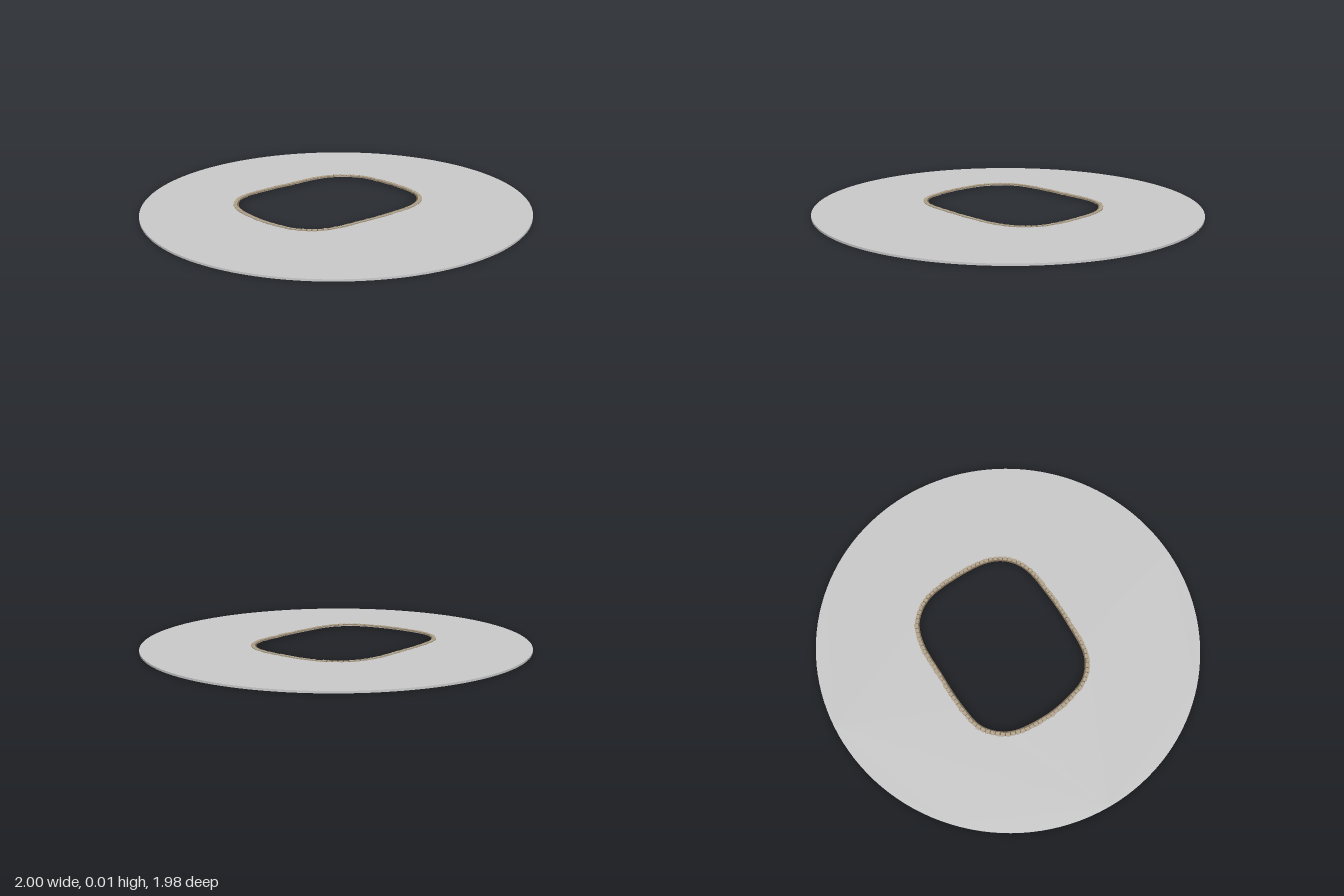
import * as THREE from 'three';

// Closed smooth curve through [x, z] pairs
function closedCurve(pairs) {
  return new THREE.CatmullRomCurve3(pairs.map(([x, z]) => new THREE.Vector3(x, 0, z)), true, 'centripetal');
}

// Evenly spaced points on the curve, moved outward by d
function offsetPoints(curve, d, n) {
  return Array.from({ length: n }, (_, i) => {
    const p = curve.getPointAt(i / n), t = curve.getTangentAt(i / n);
    return new THREE.Vector2(p.x + t.z * -d, -(p.z + t.x * d));
  });
}

// Flat plate standing on y = 0, with one opening
function plate(outer, inner, height) {
  const shape = new THREE.Shape(outer);
  shape.holes.push(new THREE.Path(inner));
  return new THREE.ExtrudeGeometry(shape, { depth: height, bevelEnabled: false }).rotateX(-Math.PI / 2);
}

export function createModel() {
  const group = new THREE.Group();
  let seed = 7;
  const rand = () => (seed = (seed * 16807) % 2147483647) / 2147483647;

  // Opening outline, counter-clockwise as seen from below
  const opening = closedCurve([
    [-0.455, -0.08], [-0.43, -0.26], [-0.34, -0.36], [-0.2, -0.39], [0, -0.395], [0.2, -0.39],
    [0.31, -0.35], [0.39, -0.25], [0.42, -0.08], [0.41, 0.13], [0.36, 0.22], [0.27, 0.275],
    [0.1, 0.295], [-0.1, 0.295], [-0.3, 0.27], [-0.39, 0.2], [-0.435, 0.08],
  ]);
  const out = -1; // the outline runs so that its outward side is the negative offset
  const innerEdge = offsetPoints(opening, 0, 160);
  const outerEdge = offsetPoints(opening, 0.022 * out, 160);

  // Slightly uneven round ground, a little flatter at the front
  const rim = Array.from({ length: 128 }, (_, i) => {
    const a = i / 128 * Math.PI * 2;
    const r = 1 - 0.012 * Math.pow(Math.sin(a), 2);
    return new THREE.Vector2(r * Math.cos(a), r * Math.sin(a) + 0.003);
  });
  const ground = new THREE.Mesh(plate(rim, outerEdge, 0.01),
    new THREE.MeshStandardMaterial({ color: 0xcccccc }));
  ground.name = 'ground';
  group.add(ground);

  // Mortar bed lining the opening
  const bed = new THREE.Mesh(plate(outerEdge, innerEdge, 0.011),
    new THREE.MeshStandardMaterial({ color: 0x7a6850 }));
  bed.name = 'kerbBed';
  group.add(bed);

  // Kerb stones set around the opening, with small variations
  const stones = new THREE.Group();
  stones.name = 'kerbStones';
  const stoneMaterial = new THREE.MeshStandardMaterial({ color: 0xb3a58e });
  const stoneGeometry = new THREE.BoxGeometry(1, 1, 1);
  const count = 112, pitch = opening.getLength() / count;
  for (let i = 0; i < count; i++) {
    const u = i / count, p = opening.getPointAt(u), t = opening.getTangentAt(u);
    const d = (0.015 + 0.003 * rand()) * out;
    const stone = new THREE.Mesh(stoneGeometry, stoneMaterial);
    stone.name = 'kerbStone';
    stone.scale.set(pitch * (0.78 + 0.14 * rand()), 0.01, 0.017 + 0.004 * rand());
    stone.position.set(p.x - t.z * d, 0.0085 + 0.0015 * rand(), p.z + t.x * d);
    stone.rotation.y = Math.atan2(-t.z, t.x) + (rand() - 0.5) * 0.15;
    stones.add(stone);
  }
  group.add(stones);
  return group;
}
